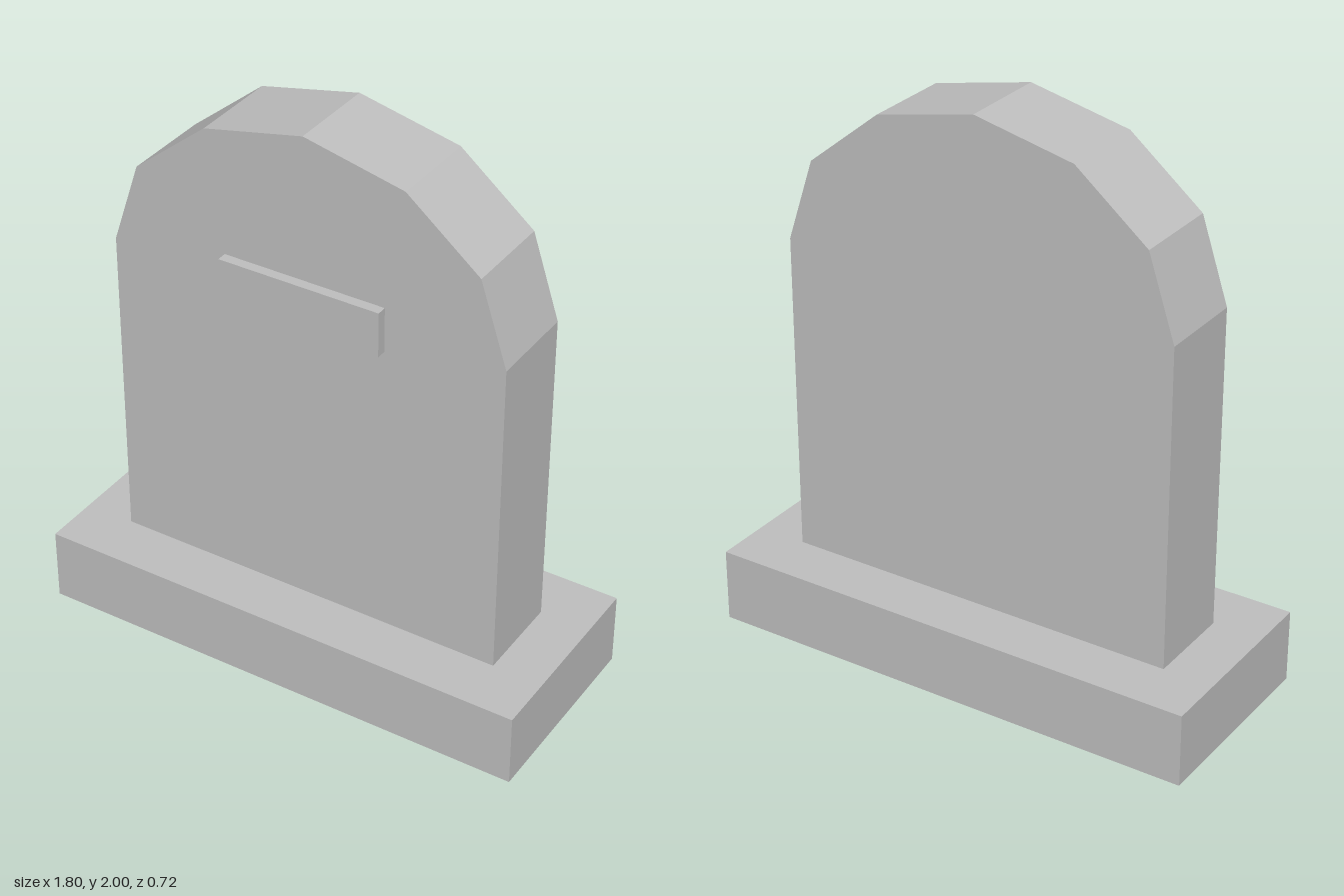
import * as THREE from 'three';

export function createModel() {
  const model = new THREE.Group();
  const stone = new THREE.MeshStandardMaterial({ color: 0xc0c0c0 });
  stone.name = 'stone grey';

  const add = (name, geometry, x, y, z) => {
    const mesh = new THREE.Mesh(geometry, stone);
    mesh.name = name;
    mesh.position.set(x, y, z);
    model.add(mesh);
  };

  // Plinth
  const baseHeight = 0.263;
  add('base', new THREE.BoxGeometry(1.8, baseHeight, 0.72), 0, baseHeight / 2, 0);

  // Upright slab with a six-sided elliptical top
  const halfWidth = 0.72, shoulder = 1.413, rise = 2 - shoulder, depth = 0.324;
  const outline = [new THREE.Vector2(-halfWidth, baseHeight), new THREE.Vector2(halfWidth, baseHeight)];
  for (let i = 0; i <= 6; i++) {
    const a = (i / 6) * Math.PI;
    outline.push(new THREE.Vector2(halfWidth * Math.cos(a), shoulder + rise * Math.sin(a)));
  }
  const slab = new THREE.ExtrudeGeometry(new THREE.Shape(outline), { depth, bevelEnabled: false });
  add('headstone', slab, 0, 0, -depth / 2);

  // Raised blank plaque on the front
  const plaqueDepth = 0.036;
  add('plaque', new THREE.BoxGeometry(0.588, 0.16, plaqueDepth), 0, 1.412, depth / 2 + plaqueDepth / 2);

  return model;
}
